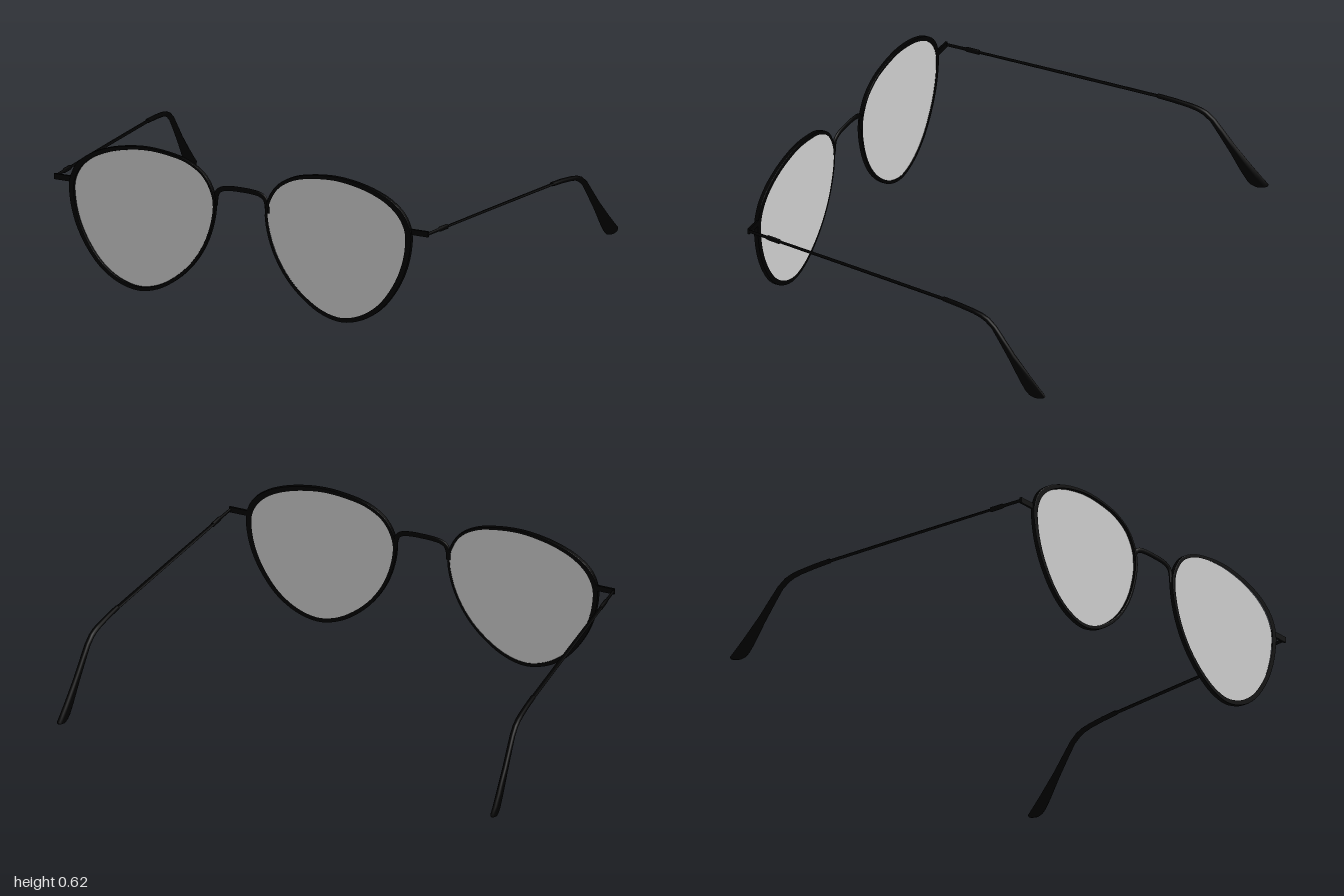
import * as THREE from 'three';

const black = new THREE.MeshStandardMaterial({ color: 0x000000 });
const grey = new THREE.MeshStandardMaterial({ color: 0xcccccc });

// Rim outline of one eye: x, y, rim width at that point
const OUTLINE = [
  [0.116, 0.43, 0.012], [0.134, 0.495, 0.012], [0.175, 0.553, 0.012], [0.25, 0.597, 0.012],
  [0.34, 0.618, 0.013], [0.44, 0.626, 0.014], [0.53, 0.618, 0.016], [0.62, 0.597, 0.018],
  [0.705, 0.56, 0.021], [0.768, 0.507, 0.025], [0.799, 0.435, 0.024], [0.795, 0.345, 0.022],
  [0.769, 0.25, 0.021], [0.722, 0.16, 0.02], [0.657, 0.081, 0.019], [0.572, 0.025, 0.018],
  [0.475, 0.002, 0.017], [0.385, 0.021, 0.016], [0.3, 0.071, 0.015], [0.22, 0.148, 0.013],
  [0.16, 0.243, 0.012], [0.125, 0.345, 0.012],
];

// Temple sections: upper z, upper y, lower z, lower y, half width in x
const HINGE = [
  [0.715, 0.443, 0.715, 0.429, 0.005], [0.63, 0.441, 0.63, 0.427, 0.006],
  [0.62, 0.445, 0.62, 0.423, 0.008], [0.565, 0.443, 0.565, 0.421, 0.008],
];
const WIRE = [
  [0.58, 0.437, 0.58, 0.428, 0.008], [0.2, 0.426, 0.2, 0.417, 0.01],
  [-0.25, 0.412, -0.25, 0.402, 0.01],
];
const TIP = [
  [-0.234, 0.418, -0.234, 0.399, 0.011], [-0.31, 0.413, -0.31, 0.393, 0.011],
  [-0.387, 0.404, -0.379, 0.385, 0.012], [-0.425, 0.396, -0.413, 0.377, 0.012],
  [-0.455, 0.384, -0.438, 0.366, 0.012], [-0.49, 0.356, -0.47, 0.342, 0.012],
  [-0.53, 0.309, -0.508, 0.288, 0.012], [-0.582, 0.247, -0.56, 0.211, 0.012],
  [-0.66, 0.166, -0.606, 0.134, 0.013], [-0.7, 0.127, -0.633, 0.096, 0.013],
  [-0.73, 0.098, -0.65, 0.083, 0.013], [-0.725, 0.088, -0.67, 0.078, 0.012],
];

const templeX = z => 0.871 + (0.715 - z) * 0.08;

// Smooth closed loop, moved inwards by a share of the rim width
function eyeLoop(side, inset) {
  const flat = OUTLINE.map(([x, y, w]) => new THREE.Vector3(x, y, w));
  const curve = new THREE.CatmullRomCurve3(flat, true);
  const n = 88;
  return Array.from({ length: n }, (_, i) => {
    const p = curve.getPoint(i / n), t = curve.getTangent(i / n);
    const k = p.z * inset / Math.hypot(t.x, t.y);
    return new THREE.Vector2(side * (p.x + t.y * k), p.y - t.x * k);
  });
}

// Oval tube through a list of temple sections, closed at both ends
function loft(sections, side, sides = 12) {
  const pos = [], idx = [];
  const tri = (a, b, c) => (side > 0 ? idx.push(a, b, c) : idx.push(a, c, b));
  sections.forEach(([zu, yu, zl, yl, w]) => {
    for (let j = 0; j < sides; j++) {
      const a = j / sides * Math.PI * 2, k = (1 + Math.cos(a)) / 2;
      const z = zl + (zu - zl) * k;
      pos.push(side * (templeX(z) + w * Math.sin(a)), yl + (yu - yl) * k, z);
    }
  });
  const last = (sections.length - 1) * sides;
  for (let j = 0; j < sides; j++) {
    const n = (j + 1) % sides;
    for (let r = 0; r < last; r += sides) {
      tri(r + j, r + n, r + sides + j);
      tri(r + n, r + sides + n, r + sides + j);
    }
    if (j > 0 && n > 0) {
      tri(0, n, j);
      tri(last, last + j, last + n);
    }
  }
  const g = new THREE.BufferGeometry();
  g.setAttribute('position', new THREE.Float32BufferAttribute(pos, 3));
  g.setIndex(idx);
  g.computeVertexNormals();
  return g;
}

function add(parent, name, geometry, material = black) {
  const mesh = new THREE.Mesh(geometry, material);
  mesh.name = name;
  parent.add(mesh);
  return mesh;
}

export function createModel() {
  const model = new THREE.Group();
  model.name = 'glasses';

  for (const side of [1, -1]) {
    const word = side > 0 ? 'left' : 'right';

    // Rim with softened edges
    const rim = new THREE.Shape(eyeLoop(side, 0));
    rim.holes.push(new THREE.Path(eyeLoop(side, 1)));
    const rimGeometry = new THREE.ExtrudeGeometry(rim, {
      depth: 0.014, bevelThickness: 0.003, bevelSize: 0.003, bevelOffset: -0.003, bevelSegments: 2,
    });
    add(model, word + 'Rim', rimGeometry).position.z = 0.712;

    // Flat lens near the back of the rim
    const lens = new THREE.Shape(eyeLoop(side, 0.6));
    add(model, word + 'Lens', new THREE.ExtrudeGeometry(lens, { depth: 0.004, bevelEnabled: false }), grey)
      .position.z = 0.711;

    // End piece joining the rim to the temple
    add(model, word + 'EndPiece', new THREE.BoxGeometry(0.092, 0.024, 0.01))
      .position.set(side * 0.83, 0.436, 0.714);

    // Temple arm
    const temple = new THREE.Group();
    temple.name = word + 'Temple';
    add(temple, 'hinge', loft(HINGE, side));
    add(temple, 'wire', loft(WIRE, side));
    add(temple, 'earTip', loft(TIP, side));
    model.add(temple);
  }

  // Nose bridge, flattened front to back
  const half = [[0.121, 0.42], [0.119, 0.455], [0.109, 0.481], [0.085, 0.495], [0.045, 0.501]];
  const path = [...half.map(([x, y]) => [-x, y]), [0, 0.502], ...half.reverse()];
  const curve = new THREE.CatmullRomCurve3(path.map(([x, y]) => new THREE.Vector3(x, y, 0)));
  const bridge = new THREE.TubeGeometry(curve, 48, 0.011, 10).scale(1, 1, 0.6);
  add(model, 'bridge', bridge).position.z = 0.714;

  return model;
}
